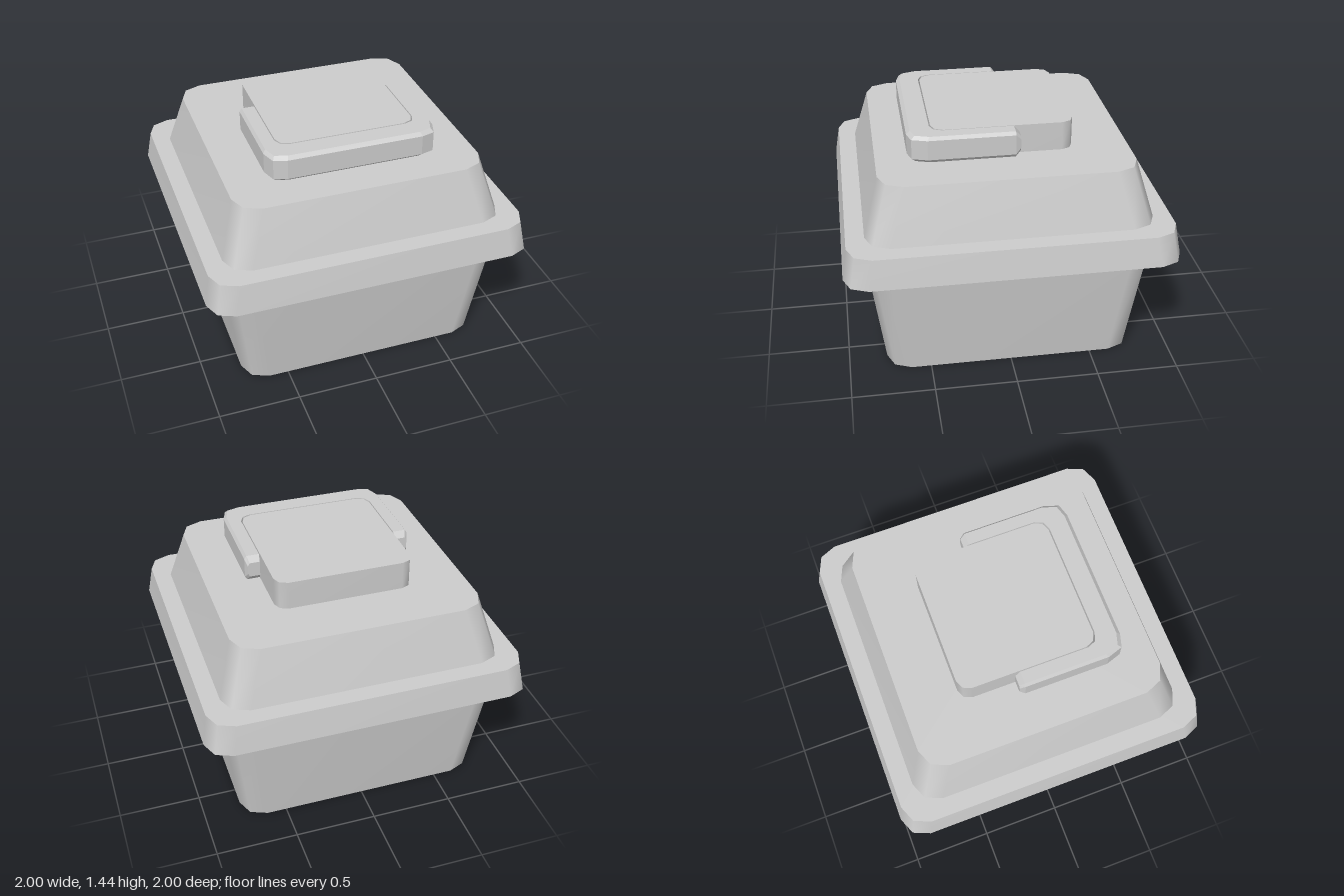
import * as THREE from 'three';

const grey = new THREE.MeshStandardMaterial({ color: 0xcccccc });
grey.name = 'plain grey';

// Outline of a square with rounded corners, two facets per corner
function roundedSquare(half, radius) {
  const r = Math.min(radius, half);
  const points = [];
  for (let corner = 0; corner < 4; corner++) {
    const mid = Math.PI / 4 + corner * Math.PI / 2;
    const cx = Math.sign(Math.cos(mid)) * (half - r);
    const cz = Math.sign(Math.sin(mid)) * (half - r);
    for (let k = -1; k <= 1; k++) {
      const a = mid + k * Math.PI / 4;
      points.push([cx + r * Math.cos(a), cz + r * Math.sin(a)]);
    }
  }
  return points;
}

// Stacks rounded squares along a [half width, y] profile; each band is smooth
// around its corners and has sharp upper and lower edges
function squareLoft(name, profile, radius) {
  const positions = [], index = [];
  for (let s = 0; s < profile.length - 1; s++) {
    const base = positions.length / 3;
    for (const [half, y] of [profile[s], profile[s + 1]]) {
      for (const [x, z] of roundedSquare(half, radius)) positions.push(x, y, z);
    }
    for (let j = 0; j < 12; j++) {
      const a = base + j, b = base + (j + 1) % 12;
      index.push(a, a + 12, b, b, a + 12, b + 12);
    }
  }
  const geometry = new THREE.BufferGeometry();
  geometry.setAttribute('position', new THREE.Float32BufferAttribute(positions, 3));
  geometry.setIndex(index);
  geometry.computeVertexNormals();
  const mesh = new THREE.Mesh(geometry, grey);
  mesh.name = name;
  return mesh;
}

// U-shaped grip: a bevelled section carried round three sides of the knob
function createHandle() {
  const low = 1.28, high = 1.443;
  // inner x, inner z, outer x, outer z, vertical inset
  const side = [
    [0.437, -0.092, 0.512, -0.092, 0.035],
    [0.433, -0.06, 0.525, -0.06, 0],
    [0.433, 0.365, 0.525, 0.46, 0],
    [0.412, 0.415, 0.495, 0.552, 0],
    [0.36, 0.435, 0.415, 0.575, 0],
  ];
  const mirrored = side.map(([a, b, c, d, e]) => [-a, b, -c, d, e]).reverse();
  const stations = [...side, ...mirrored];
  const positions = [], index = [];
  for (const [ix, iz, ox, oz, inset] of stations) {
    const y0 = low + inset, y1 = high - inset;
    const section = [[0, y0], [0.84, y0], [1, y0 + 0.02], [1, y1 - 0.02], [0.84, y1], [0, y1]];
    for (const [t, y] of section) positions.push(ix + (ox - ix) * t, y, iz + (oz - iz) * t);
  }
  const n = 6, last = (stations.length - 1) * n;
  for (let s = 0; s < last; s += n) {
    for (let j = 0; j < n; j++) {
      const a = s + j, b = s + (j + 1) % n;
      index.push(a, b, b + n, a, b + n, a + n);
    }
  }
  // End caps
  for (let j = 1; j < n - 1; j++) {
    index.push(0, j + 1, j, last, last + j, last + j + 1);
  }
  const indexed = new THREE.BufferGeometry();
  indexed.setAttribute('position', new THREE.Float32BufferAttribute(positions, 3));
  indexed.setIndex(index);
  const geometry = indexed.toNonIndexed();
  geometry.computeVertexNormals();
  const mesh = new THREE.Mesh(geometry, grey);
  mesh.name = 'handle';
  return mesh;
}

export function createModel() {
  const model = new THREE.Group();
  model.name = 'lidded box';
  model.add(
    squareLoft('body', [[0, 0], [0.765, 0], [0.86, 0.74]], 0.145),
    squareLoft('rim', [[0, 0.74], [1, 0.74], [0.97, 0.925], [0, 0.925]], 0.145),
    squareLoft('lid', [[0.86, 0.925], [0.765, 1.265], [0, 1.265]], 0.145),
    squareLoft('knob', [[0.427, 1.265], [0.427, 1.443], [0, 1.443]], 0.072),
    createHandle(),
  );
  return model;
}
